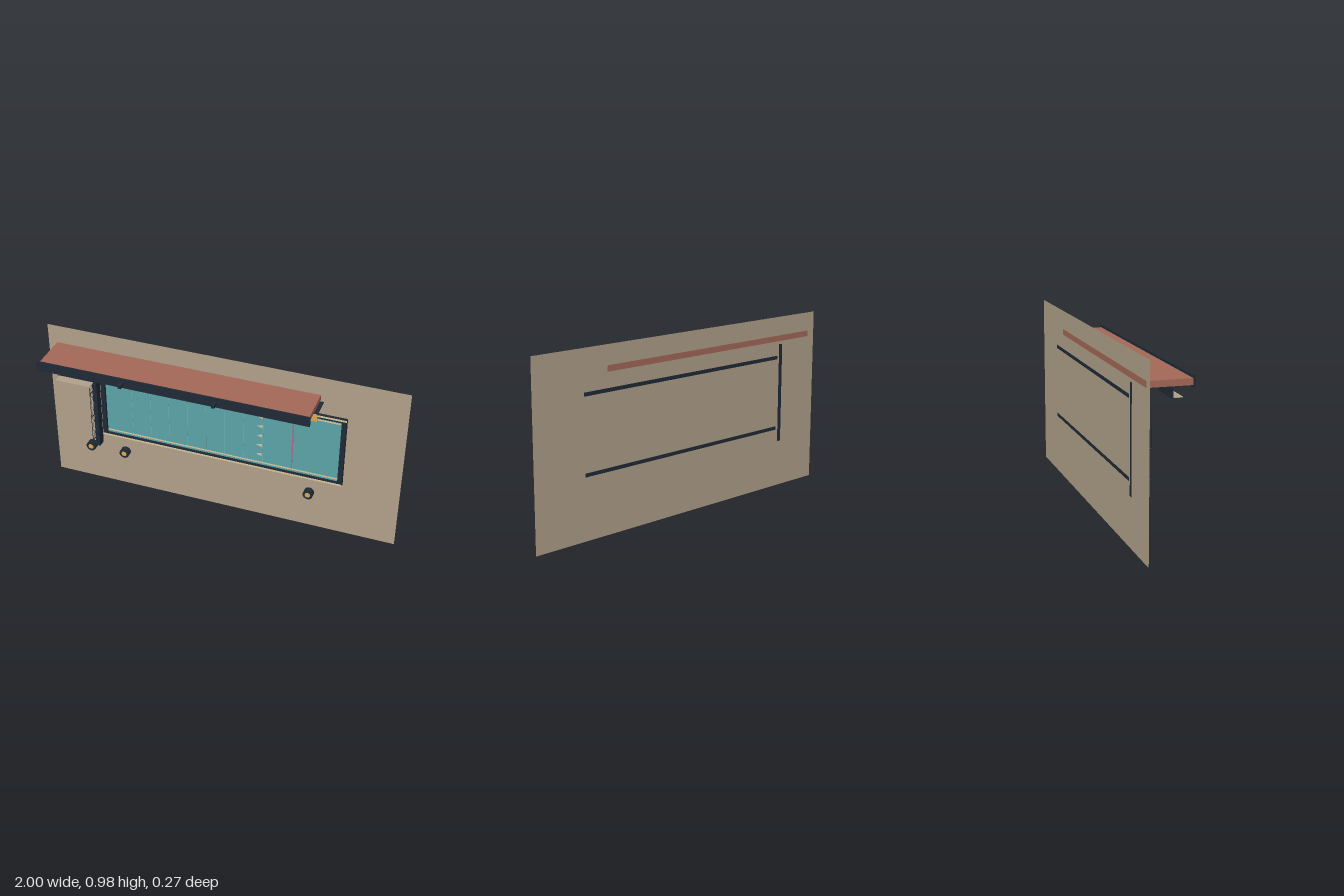
import * as THREE from 'three';

const mat = (color) => new THREE.MeshStandardMaterial({ color, side: THREE.DoubleSide });

export function createModel() {
  const model = new THREE.Group();
  const wallTan = mat(0xb0a08a), dark = mat(0x1f2a36), red = mat(0xa36857);
  const amber = mat(0xd9a84e), cream = mat(0xd8c49c), teal = mat(0x5ba3a8);
  const paleTeal = mat(0x74b3b5), pink = mat(0xb8608c);

  const add = (name, geometry, material, parent = model) => {
    const mesh = new THREE.Mesh(geometry, material);
    mesh.name = name;
    parent.add(mesh);
    return mesh;
  };
  // Box given by its limits on each axis
  const box = (name, material, x0, x1, y0, y1, z0, z1, parent) => {
    const mesh = add(name, new THREE.BoxGeometry(x1 - x0, y1 - y0, z1 - z0), material, parent);
    mesh.position.set((x0 + x1) / 2, (y0 + y1) / 2, (z0 + z1) / 2);
    return mesh;
  };
  const group = (name) => {
    const g = new THREE.Group();
    g.name = name;
    model.add(g);
    return g;
  };
  const back = -0.1355;

  // Back wall
  add('wall', new THREE.PlaneGeometry(2, 0.975), wallTan).position.set(0, 0.4875, -0.135);

  // Canopy with fascia and two front brackets
  const canopy = group('canopy');
  box('canopySlab', red, -0.95, 0.54, 0.838, 0.87, back, 0.09, canopy);
  box('fascia', dark, -0.96, 0.55, 0.828, 0.883, 0.089, 0.098, canopy);
  for (const x of [-0.465, 0.05]) {
    box('fasciaBracket', dark, x - 0.008, x + 0.008, 0.845, 0.862, 0.098, 0.135, canopy);
  }

  // Hanging panels under the canopy, each on a thin carrier plate
  const panels = group('hangingPanels');
  for (const x of [-0.465, -0.16, 0.15, 0.455]) {
    box('panel', amber, x - 0.105, x + 0.105, 0.793, 0.836, -0.013, -0.006, panels);
    box('carrierPlate', dark, x - 0.105, x + 0.105, 0.834, 0.838, -0.125, -0.01, panels);
  }

  // Window: pane, frame and trims
  const pane = group('window');
  box('pane', teal, -0.672, 0.667, 0.345, 0.737, -0.134, -0.125, pane);
  for (const [x0, x1] of [[-0.696, -0.67], [0.664, 0.69]]) {
    box('frameSide', dark, x0, x1, 0.345, 0.742, -0.134, -0.112, pane);
  }
  for (const s of [1, -1]) {
    const y = 0.5435 + s * 0.203;
    box('frameRail', dark, -0.696, 0.69, y - 0.01, y + 0.01, back, -0.115, pane);
    const t = y + s * 0.005;
    box('railTrim', cream, -0.696, 0.69, t - 0.005, t + 0.005, -0.115, -0.113, pane);
    const l = 0.5435 + s * 0.178;
    box('innerLine', cream, -0.67, 0.665, l - 0.004, l + 0.004, -0.125, -0.1235, pane);
  }
  for (let i = 0; i < 8; i++) {
    const x = -0.515 + i * 0.108;
    box('paneDivision', paleTeal, x - 0.001, x + 0.001, 0.37, 0.717, -0.125, -0.1242, pane);
  }
  box('markerLine', pink, 0.402, 0.409, 0.357, 0.73, -0.125, -0.1238, pane);

  // Column of arrow markers pointing to the right-hand end
  const arrow = new THREE.Shape([
    new THREE.Vector2(-0.017, 0), new THREE.Vector2(0.017, -0.011), new THREE.Vector2(0.017, 0.011),
  ]);
  for (let i = 0; i < 5; i++) {
    add('arrowMarker', new THREE.ShapeGeometry(arrow), cream, pane).position.set(0.22, 0.665 - i * 0.0615, -0.1235);
  }

  // Post and its truss arm
  box('post', dark, -0.735, -0.71, 0.26, 0.82, back, -0.09);
  const truss = group('truss');
  const trussX = -0.7225;
  const rod = (name, y0, z0, y1, z1, r) => {
    const path = new THREE.LineCurve3(new THREE.Vector3(trussX, y0, z0), new THREE.Vector3(trussX, y1, z1));
    add(name, new THREE.TubeGeometry(path, 1, r, 6), dark, truss);
  };
  rod('trussChord', 0.335, -0.032, 0.798, -0.032, 0.0015);
  const bay = (0.798 - 0.335) / 6;
  for (let i = 0; i <= 6; i++) {
    const y = 0.335 + i * bay;
    if (i % 2 === 0) rod('trussRung', y, -0.09, y, -0.031, 0.0025);
    if (i < 6) {
      rod('trussBrace', y, -0.09, y + bay, -0.032, 0.001);
      rod('trussBrace', y, -0.032, y + bay, -0.09, 0.001);
    }
  }
  rod('signArm', 0.797, -0.09, 0.797, 0.018, 0.002);

  // Hanging sign board with a narrow shelf
  box('signBoard', dark, -0.875, -0.668, 0.762, 0.84, 0.016, 0.021);
  box('signShelf', wallTan, -0.87, -0.67, 0.764, 0.768, 0.021, 0.07);

  // Round wall fittings
  for (const x of [-0.775, -0.57, 0.51]) {
    const fitting = group('wallFitting');
    fitting.position.set(x, 0.232, 0);
    const disc = (name, r, z0, z1, material) => {
      const mesh = add(name, new THREE.CylinderGeometry(r, r, z1 - z0, 24), material, fitting);
      mesh.rotation.x = Math.PI / 2;
      mesh.position.z = (z0 + z1) / 2;
    };
    disc('fittingBase', 0.028, -0.134, -0.118, dark);
    disc('fittingNeck', 0.026, -0.118, -0.116, dark);
    disc('fittingBody', 0.028, -0.116, -0.1, dark);
    disc('fittingHub', 0.015, -0.1, -0.0985, amber);
  }

  return model;
}
